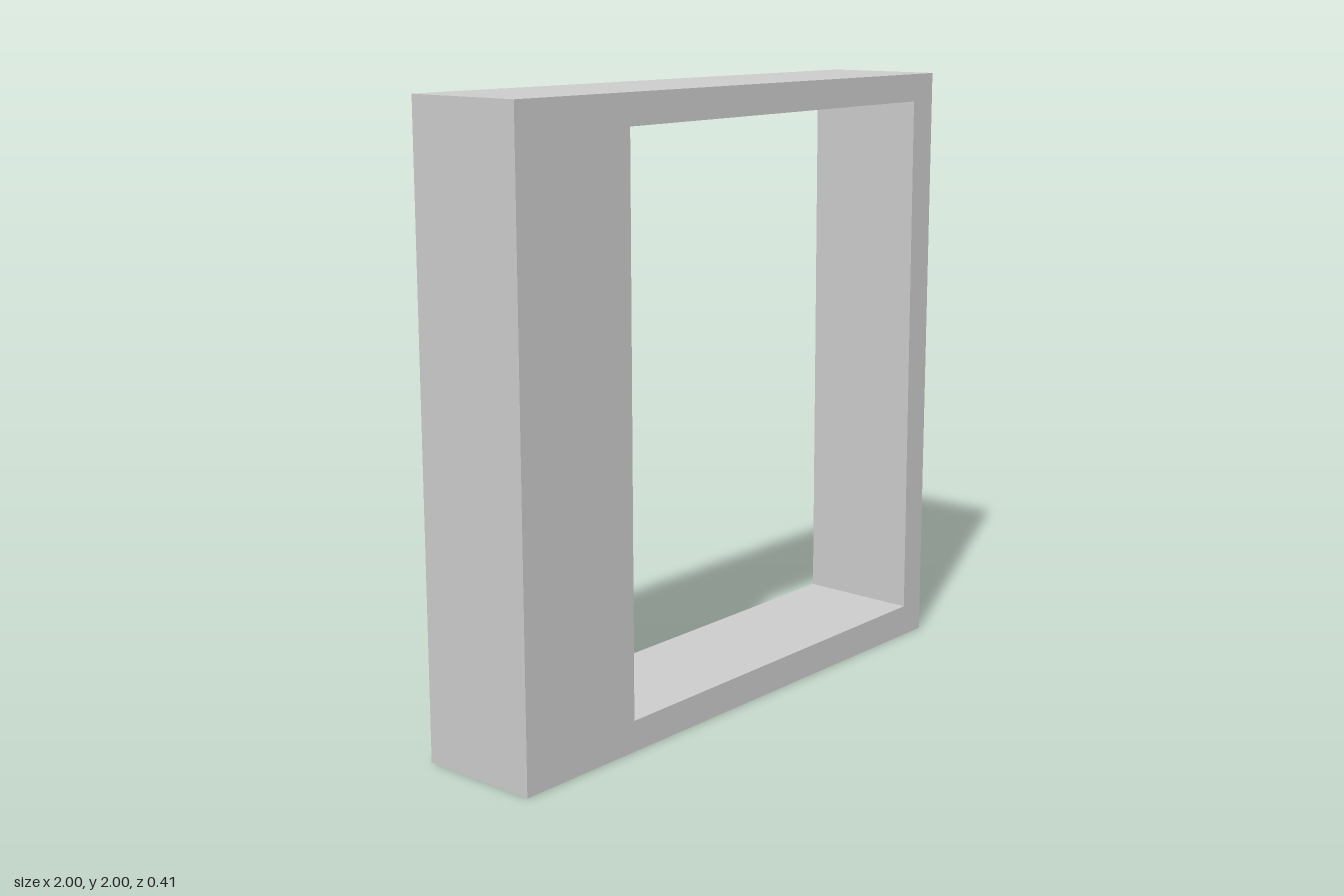
import * as THREE from 'three';

const DEPTH = 0.41;

export function createModel() {
  const model = new THREE.Group();
  model.name = 'windowFrame';

  // Outer square outline
  const outline = new THREE.Shape([
    new THREE.Vector2(-1, 0), new THREE.Vector2(1, 0),
    new THREE.Vector2(1, 2), new THREE.Vector2(-1, 2),
  ]);

  // Off-centre opening, very slightly out of square
  outline.holes.push(new THREE.Path([
    new THREE.Vector2(-0.54, 0.1), new THREE.Vector2(-0.54, 1.902),
    new THREE.Vector2(0.892, 1.908), new THREE.Vector2(0.9, 0.107),
  ]));

  // One solid frame: wide post on one side, thin post, sill and lintel
  const geometry = new THREE.ExtrudeGeometry(outline, { depth: DEPTH, bevelEnabled: false });
  geometry.translate(0, 0, -DEPTH / 2);

  const frame = new THREE.Mesh(geometry, new THREE.MeshStandardMaterial({ color: 0xcccccc }));
  frame.name = 'frame';
  model.add(frame);
  return model;
}
